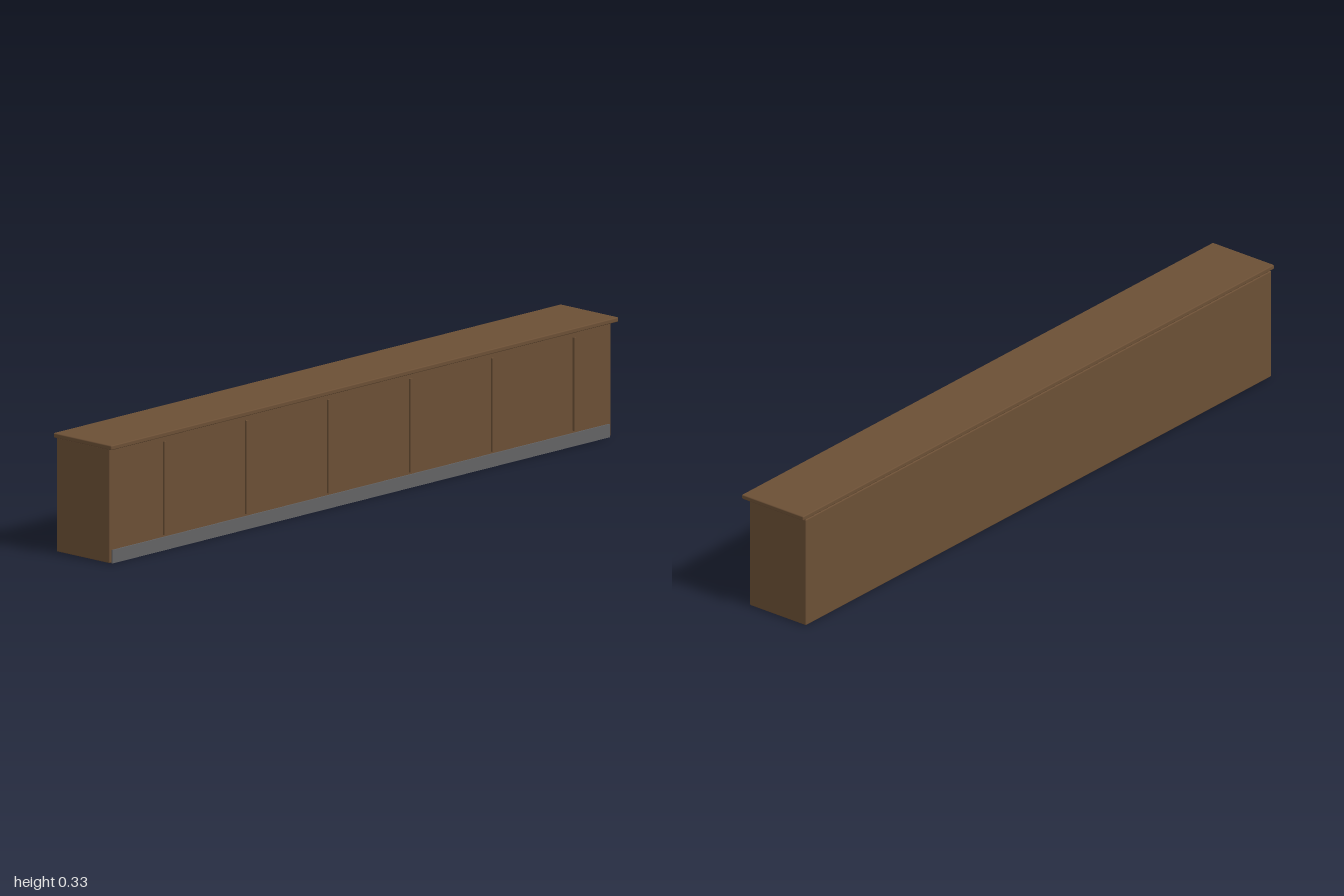
import * as THREE from 'three';
import { RoundedBoxGeometry } from 'three/addons/geometries/RoundedBoxGeometry.js';

export function createModel() {
  const group = new THREE.Group();
  group.name = 'counter';
  const wood = new THREE.MeshStandardMaterial({ name: 'brown wood', color: 0x6b4f35 });
  const metal = new THREE.MeshStandardMaterial({ name: 'grey metal', color: 0x626264 });

  // Box given by its minimum and maximum corners, with softened edges if a radius is set
  function addBox(name, material, [x0, y0, z0], [x1, y1, z1], radius = 0) {
    const size = [x1 - x0, y1 - y0, z1 - z0];
    const geometry = radius
      ? new RoundedBoxGeometry(...size, 2, radius)
      : new THREE.BoxGeometry(...size);
    const mesh = new THREE.Mesh(geometry, material);
    mesh.name = name;
    mesh.position.set((x0 + x1) / 2, (y0 + y1) / 2, (z0 + z1) / 2);
    group.add(mesh);
  }

  // Cabinet body and overhanging worktop
  addBox('body', wood, [-0.988, 0.001, -0.107], [0.988, 0.319, 0.09], 0.003);
  addBox('worktop', wood, [-1, 0.32, -0.107], [1, 0.333, 0.108], 0.003);

  // Kick plate along the foot of the front
  addBox('kickPlate', metal, [-0.98, 0, 0.089], [0.98, 0.037, 0.094]);

  // Vertical battens dividing the front into panels
  for (let i = 0; i < 6; i++) {
    const x = -0.773 + i * 0.323;
    addBox('batten' + (i + 1), wood, [x - 0.004, 0.043, 0.089], [x + 0.004, 0.303, 0.096]);
  }
  return group;
}
